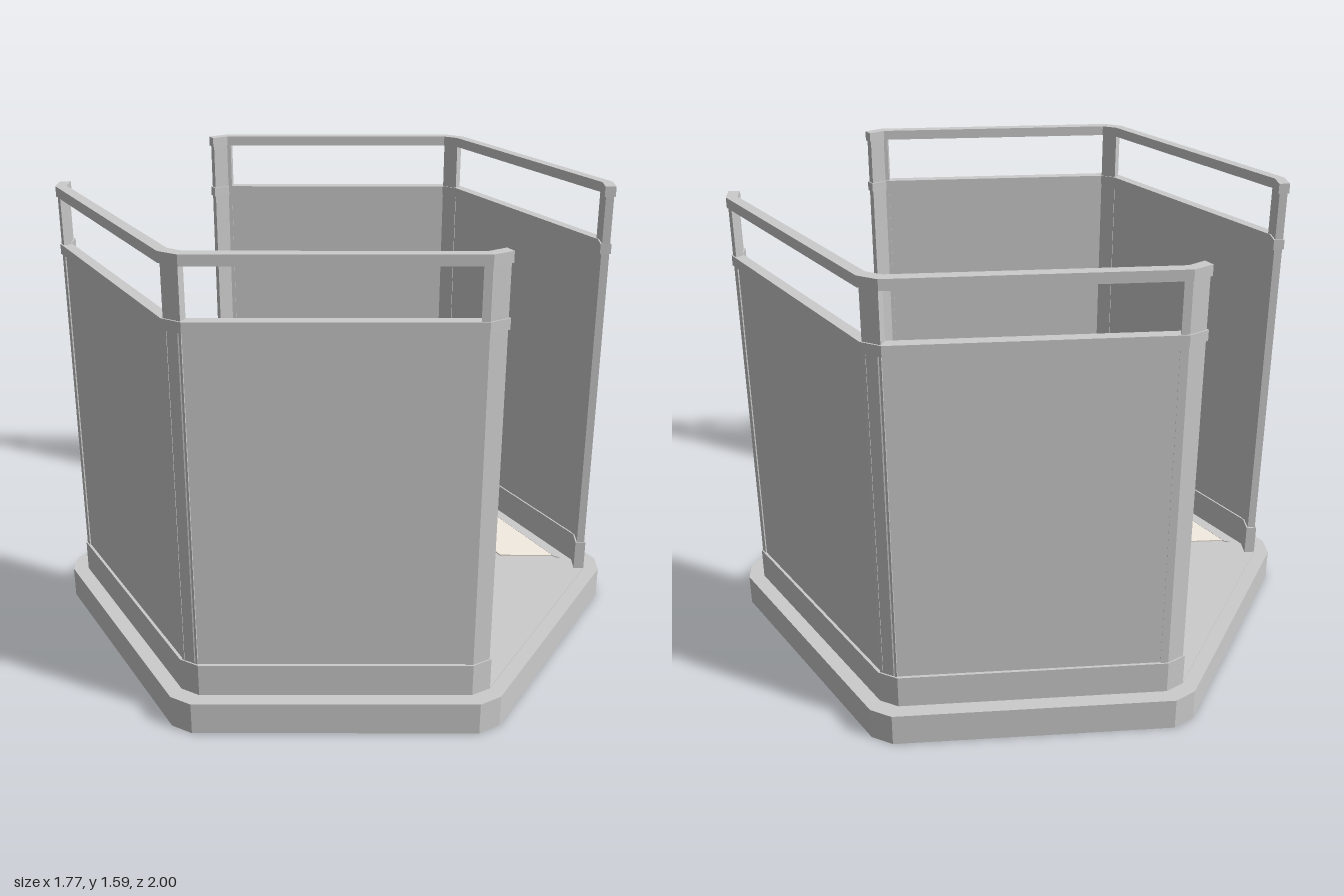
import * as THREE from 'three';

const grey = new THREE.MeshStandardMaterial({ color: 0xcccccc, flatShading: true });
const cream = new THREE.MeshStandardMaterial({ color: 0xf4ece2, flatShading: true });

// Upright prism from a plan outline of [x, z] points, between heights y0 and y1
function prism(name, outline, y0, y1, material = grey) {
  const shape = new THREE.Shape(outline.map(([x, z]) => new THREE.Vector2(x, z)));
  const geometry = new THREE.ExtrudeGeometry(shape, { depth: y1 - y0, bevelEnabled: false });
  geometry.rotateX(Math.PI / 2).translate(0, y1, 0);
  const mesh = new THREE.Mesh(geometry, material);
  mesh.name = name;
  return mesh;
}

const flip = (points) => points.map(([x, z]) => [-x, z]).reverse();

// Closed hexagon with clipped corners from the points of one quarter
function hexagon(quarter) {
  const half = [...flip(quarter), ...quarter];
  return [...half, ...half.map(([x, z]) => [-x, -z])];
}

// V-shaped strip from its outer and inner half edges (apex to open end)
function strip(outer, inner) {
  const back = [...inner].reverse();
  return [...flip(outer), ...outer, ...back, ...flip(back)];
}

// One V-shaped wall with its floor panels
function createWall(name) {
  const wall = new THREE.Group();
  wall.name = name;

  // Plinth and the two rails share one plan
  const band = strip(
    [[0.035, 0.945], [0.8, 0.502], [0.835, 0.44]],
    [[0.028, 0.906], [0.773, 0.476], [0.803, 0.42]],
  );
  wall.add(prism('plinth', band, 0.112, 0.225));
  wall.add(prism('lowerRail', band, 1.355, 1.39));
  wall.add(prism('upperRail', band, 1.555, 1.59));

  // Corner post at the apex
  wall.add(prism('cornerPost', [[-0.031, 0.94], [0.031, 0.94], [0.028, 0.91], [-0.028, 0.91]], 0.22, 1.56));

  // Parts found on both sides of the apex
  const sides = [
    ['endPost', [[0.775, 0.511], [0.797, 0.498], [0.829, 0.442], [0.805, 0.428], [0.777, 0.478], [0.765, 0.485]], 0.22, 1.56, grey],
    ['wallPanel', [[0.02, 0.942], [0.79, 0.497], [0.78, 0.479], [0.02, 0.918]], 0.22, 1.36, grey],
    ['floorPanel', [[0.05, 0.845], [0.7, 0.463], [0.525, 0.365], [0.055, 0.64]], 0.11, 0.12, cream],
    ['floorPanelTrim', [[0.04, 0.865], [0.73, 0.466], [0.71, 0.461], [0.04, 0.854]], 0.11, 0.118, grey],
  ];
  for (const [part, outline, y0, y1, material] of sides) {
    wall.add(prism(part + 'Left', outline, y0, y1, material));
    wall.add(prism(part + 'Right', flip(outline), y0, y1, material));
  }
  return wall;
}

export function createModel() {
  const model = new THREE.Group();
  model.name = 'hexagonalBooth';

  // Base slab with a very thin floor plate
  model.add(prism('base', hexagon([[0.04, 1], [0.845, 0.535], [0.885, 0.463]]), 0, 0.112));
  model.add(prism('floorPlate', hexagon([[0.035, 0.945], [0.8, 0.502], [0.835, 0.44]]), 0.105, 0.115));

  // Front wall and the same wall turned to the back
  const back = createWall('backWall');
  back.rotation.y = Math.PI;
  model.add(createWall('frontWall'), back);
  return model;
}
